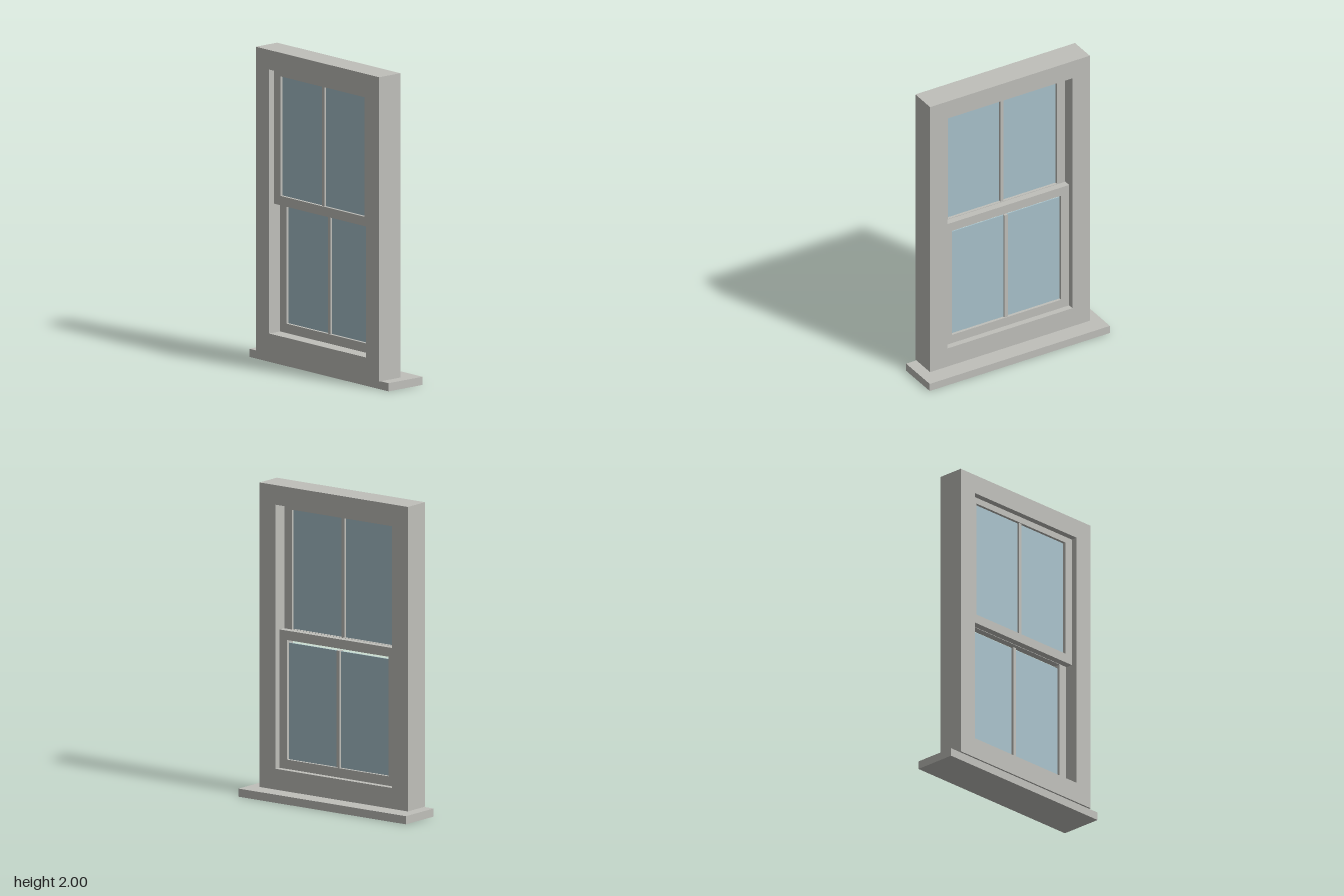
import * as THREE from 'three';

const frameMat = new THREE.MeshStandardMaterial({ color: 0xbfbfba });
frameMat.name = 'stone grey paint';
const glassMat = new THREE.MeshStandardMaterial({ color: 0xa7c1ca });
glassMat.name = 'pale blue glass';

// Box given by its limits on each axis
function box(name, [x0, x1], [y0, y1], [z0, z1], material = frameMat) {
  const mesh = new THREE.Mesh(new THREE.BoxGeometry(x1 - x0, y1 - y0, z1 - z0), material);
  mesh.position.set((x0 + x1) / 2, (y0 + y1) / 2, (z0 + z1) / 2);
  mesh.name = name;
  return mesh;
}

// Rectangular ring, symmetric in x, extruded between two depths
function ring(name, outerX, [oy0, oy1], innerX, [iy0, iy1], [z0, z1]) {
  const corners = (x, y0, y1) => [[-x, y0], [x, y0], [x, y1], [-x, y1]].map(p => new THREE.Vector2(...p));
  const shape = new THREE.Shape(corners(outerX, oy0, oy1));
  shape.holes.push(new THREE.Path(corners(innerX, iy0, iy1).reverse()));
  const geometry = new THREE.ExtrudeGeometry(shape, { depth: z1 - z0, bevelEnabled: false });
  const mesh = new THREE.Mesh(geometry, frameMat);
  mesh.position.z = z0;
  mesh.name = name;
  return mesh;
}

// Sliding sash: surround, central glazing bar and two panes
function sash(name, outerY, innerY, paneTop, z) {
  const group = new THREE.Group();
  group.name = name;
  const mid = (z[0] + z[1]) / 2;
  group.add(ring('sashSurround', 0.458, outerY, 0.4, innerY, z));
  group.add(box('glazingBar', [-0.012, 0.012], [innerY[0], Math.min(paneTop + 0.004, innerY[1])], [mid - 0.018, mid + 0.018]));
  for (const [side, x] of [['left', [0.012, 0.4]], ['right', [-0.4, -0.012]]]) {
    group.add(box(side + 'Pane', x, [innerY[0], paneTop], [mid - 0.004, mid + 0.004], glassMat));
  }
  return group;
}

export function createModel() {
  const model = new THREE.Group();
  model.name = 'sashWindow';
  model.add(box('sill', [-0.66, 0.66], [0, 0.052], [-0.148, 0.135]));
  model.add(ring('outerFrame', 0.585, [0.052, 2], 0.458, [0.185, 1.875], [-0.03, 0.147]));
  // Upper sash runs in the front track, lower sash in the rear one
  model.add(sash('upperSash', [1.01, 1.875], [1.07, 1.835], 1.835, [0.06, 0.106]));
  model.add(sash('lowerSash', [0.185, 1.07], [0.245, 1.01], 0.99, [0.01, 0.056]));
  return model;
}
